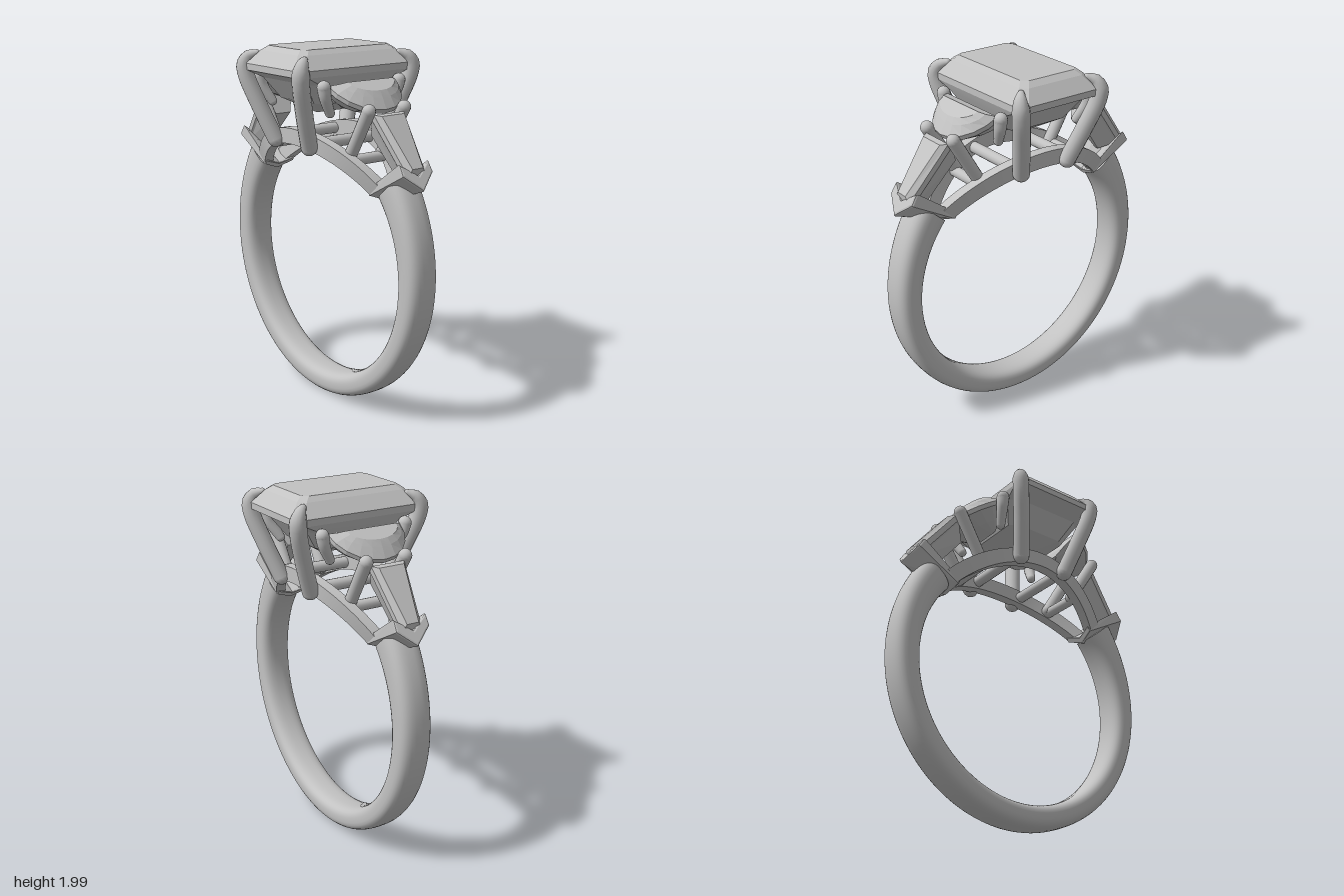
import * as THREE from 'three';
import { toCreasedNormals } from 'three/addons/utils/BufferGeometryUtils.js';

const silver = new THREE.MeshStandardMaterial({ color: 0xc2c2c2 });
silver.name = 'silver grey';
const V = (x, y, z) => new THREE.Vector3(x, y, z);

function add(parent, name, geo) {
  const m = new THREE.Mesh(geo, silver);
  m.name = name;
  parent.add(m);
  return m;
}

// Skin a stack of equal-sized point rings, capped at both ends
function loft(rings, crease = 0.1) {
  const p = [], tri = (...v) => v.forEach(q => p.push(q.x, q.y, q.z));
  const n = rings[0].length;
  const mid = r => r.reduce((s, q) => s.add(q), V(0, 0, 0)).divideScalar(n);
  const first = rings[0], last = rings[rings.length - 1];
  const c0 = mid(first), c1 = mid(last);
  for (let i = 0; i < n; i++) {
    const j = (i + 1) % n;
    tri(c0, first[j], first[i]);
    tri(c1, last[i], last[j]);
    for (let k = 0; k + 1 < rings.length; k++) {
      const a = rings[k], b = rings[k + 1];
      tri(a[i], a[j], b[i]);
      tri(a[j], b[j], b[i]);
    }
  }
  const g = new THREE.BufferGeometry();
  g.setAttribute('position', new THREE.Float32BufferAttribute(p, 3));
  return toCreasedNormals(g, crease);
}

// Bar following the finger circle; angles run from the bottom of the ring
function arcBar(from, to, steps, sides, power, inner, thick, halfWidth, zAt) {
  const rings = [];
  const pw = v => Math.sign(v) * Math.pow(Math.abs(v), power);
  for (let k = 0; k <= steps; k++) {
    const deg = from + (to - from) * k / steps, f = deg * Math.PI / 180, t = thick(deg), ring = [];
    for (let i = 0; i < sides; i++) {
      const u = (i + 0.5) / sides * Math.PI * 2;
      const r = inner + t / 2 + t / 2 * pw(Math.cos(u));
      ring.push(V(r * Math.sin(f), 0.81 - r * Math.cos(f), zAt(deg) - halfWidth * pw(Math.sin(u))));
    }
    rings.push(ring);
  }
  return loft(rings, 0.6);
}

// Round wire with a radius at each end and ball tips
function wire(parent, name, pts, r0, r1, taperFrom = 0) {
  const g = new THREE.Group();
  g.name = name;
  parent.add(g);
  const curve = new THREE.CatmullRomCurve3(pts.map(p => V(...p)), false, 'centripetal');
  const steps = pts.length > 2 ? 24 : 2, sides = 14;
  const geo = new THREE.TubeGeometry(curve, steps, 1, sides);
  const pos = geo.attributes.position, q = V(0, 0, 0);
  for (let i = 0; i < pos.count; i++) {
    const t = Math.floor(i / (sides + 1)) / steps, c = curve.getPointAt(t);
    const r = r0 + (r1 - r0) * Math.max(0, (t - taperFrom) / (1 - taperFrom));
    q.fromBufferAttribute(pos, i).sub(c).multiplyScalar(r).add(c);
    pos.setXYZ(i, q.x, q.y, q.z);
  }
  add(g, name + 'Shaft', geo);
  add(g, name + 'Foot', new THREE.SphereGeometry(r0, 14, 10)).position.set(...pts[0]);
  add(g, name + 'Tip', new THREE.SphereGeometry(r1, 14, 10)).position.set(...pts[pts.length - 1]);
}

// Rectangle with cut corners
const cutRect = (y, x, z, c) => [
  [x, c - z], [x, z - c], [x - c, z], [c - x, z], [-x, z - c], [-x, c - z], [c - x, -z], [x - c, -z],
].map(([a, b]) => V(a, y, b));

// Half disc with its straight edge at x
const halfDisc = (y, x, rx, rz, n = 10) => Array.from({ length: n + 1 }, (_, i) => {
  const a = (i / n - 0.5) * Math.PI;
  return V(x + rx * Math.cos(a), y, rz * Math.sin(a));
});

// Tapered rectangle
const taper = (y, e) => [
  [0.36 - e, e - 0.06], [0.36 - e, 0.06 - e], [e, 0.1 - e], [e, e - 0.1],
].map(([a, b]) => V(a, y, b));

function shoulder() {
  const g = new THREE.Group();

  // Half-moon stone, leaning outward
  const moon = add(g, 'halfMoonStone', loft([
    halfDisc(0.065, 0.05, 0.09, 0.15), halfDisc(0.045, 0.035, 0.14, 0.185), halfDisc(0.01, 0, 0.23, 0.22),
    halfDisc(-0.015, 0, 0.23, 0.22), halfDisc(-0.08, 0, 0.14, 0.16), halfDisc(-0.13, 0.01, 0.03, 0.09),
  ]));
  moon.position.set(0.28, 1.815, 0);
  moon.rotation.z = -0.52;

  // Tapered side stone
  const side = add(g, 'taperedStone', loft([
    taper(0.03, 0.025), taper(0.005, 0), taper(-0.025, 0), taper(-0.035, 0.008), taper(-0.13, 0.05),
  ]));
  side.position.set(0.5, 1.69, 0);
  side.rotation.z = -0.905;

  // Chevron claw, shallower toward the finger
  const s = new THREE.Shape([
    [-0.025, 0.09], [0.02, 0.09], [0.1, 0], [0.02, -0.09], [-0.025, -0.09], [0.045, 0],
  ].map(p => new THREE.Vector2(...p)));
  const depth = 0.28;
  const geo = new THREE.ExtrudeGeometry(s, {
    depth, bevelEnabled: true, bevelSize: 0.012, bevelThickness: 0.012, bevelSegments: 2,
  });
  const pos = geo.attributes.position;
  for (let i = 0; i < pos.count; i++) pos.setX(i, pos.getX(i) * (0.5 + 0.5 * pos.getZ(i) / depth));
  geo.applyMatrix4(new THREE.Matrix4().makeBasis(V(0.53, -0.848, 0), V(0, 0, -1), V(0.848, 0.53, 0)));
  geo.computeVertexNormals();
  add(g, 'chevronClaw', geo).position.set(0.475, 1.285, 0);

  // Prongs holding the side stones
  for (const z of [-1, 1]) {
    wire(g, 'outerSideProng', [[0.32, 1.44, 0.11 * z], [0.487, 1.712, 0.118 * z]], 0.034, 0.036);
    wire(g, 'innerSideProng', [[0.26, 1.68, 0.19 * z], [0.285, 1.77, 0.24 * z], [0.29, 1.82, 0.252 * z]], 0.026, 0.036);
  }
  wire(g, 'galleryCrossbar', [[0.33, 1.43, -0.12], [0.33, 1.43, 0.12]], 0.03, 0.03);
  wire(g, 'basketCrossbar', [[0.16, 1.505, -0.22], [0.16, 1.505, 0.22]], 0.032, 0.032);
  return g;
}

export function createModel() {
  const root = new THREE.Group();
  root.name = 'threeStoneRing';

  // Band, thickening toward the shoulders
  add(root, 'band', arcBar(-131, 131, 120, 28, 0.7, 0.67,
    d => 0.135 + 0.015 * Math.pow(Math.abs(d) / 90, 4), 0.095, () => 0));

  // Gallery rails bowing out beneath the stones
  for (const s of [-1, 1]) {
    add(root, 'galleryRail', arcBar(134, 226, 40, 4, 0, 0.67, () => 0.085, 0.03,
      d => s * (0.07 + 0.14 * Math.cos((d - 180) / 46 * Math.PI / 2))));
  }

  // Step-cut centre stone
  add(root, 'centreStone', loft([
    cutRect(2, 0.175, 0.29, 0.03), cutRect(1.975, 0.205, 0.325, 0.035), cutRect(1.905, 0.27, 0.385, 0.05),
    cutRect(1.87, 0.27, 0.385, 0.05), cutRect(1.825, 0.25, 0.29, 0.05), cutRect(1.715, 0.19, 0.21, 0.04),
    cutRect(1.64, 0.006, 0.08, 0.002),
  ]));

  // Four claws around the centre stone
  for (const x of [-1, 1]) for (const z of [-1, 1]) {
    wire(root, 'centreClaw', [
      [0.155, 1.49, 0.245], [0.205, 1.67, 0.312], [0.25, 1.84, 0.366],
      [0.256, 1.9, 0.37], [0.245, 1.94, 0.352], [0.215, 1.957, 0.318],
    ].map(p => [p[0] * x, p[1], p[2] * z]), 0.046, 0.018, 0.82);
  }

  // Matching shoulders
  for (const name of ['leftShoulder', 'rightShoulder']) {
    const g = shoulder();
    g.name = name;
    if (name === 'rightShoulder') g.rotation.y = Math.PI;
    root.add(g);
  }
  return root;
}
